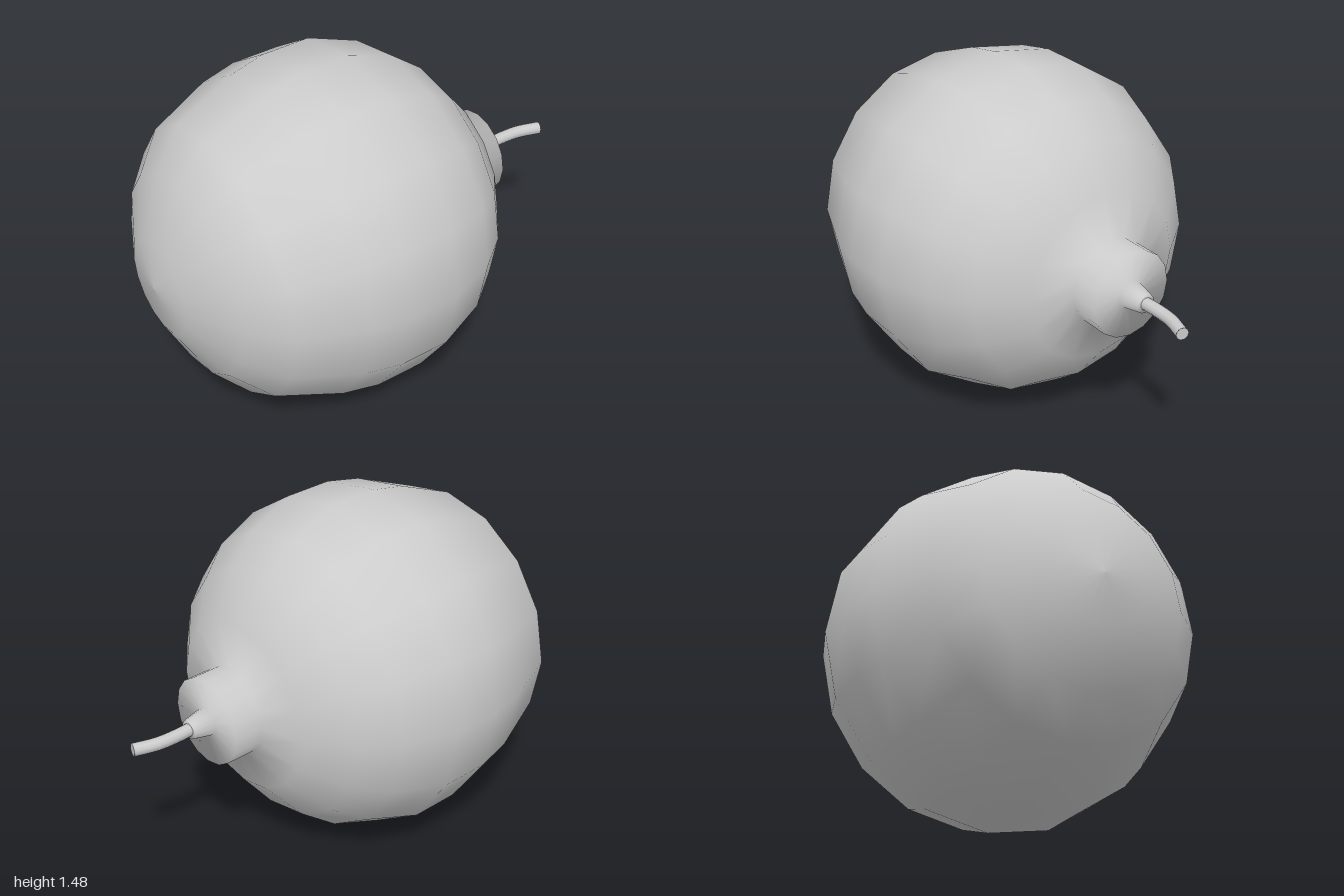
import * as THREE from 'three';

const material = new THREE.MeshStandardMaterial({ color: 0xcccccc });

export function createModel() {
  const model = new THREE.Group();
  model.name = 'roundBomb';

  const add = (name, geometry) => {
    const mesh = new THREE.Mesh(geometry, material);
    mesh.name = name;
    mesh.position.y = 0.745;
    model.add(mesh);
  };

  // Body, neck and fuse socket turned as one smooth profile: [radius, distance towards the back]
  const profile = [
    [0, -1], [0.21, -0.972], [0.44, -0.858], [0.595, -0.715], [0.708, -0.435],
    [0.742, -0.27], [0.742, -0.05], [0.66, 0.175], [0.55, 0.32], [0.37, 0.463],
    [0.19, 0.513], [0.19, 0.647], [0.06, 0.647], [0.042, 0.735], [0, 0.735],
  ].map(([r, d]) => new THREE.Vector2(r, d));
  add('body', new THREE.LatheGeometry(profile, 16).rotateX(-Math.PI / 2));

  // Fuse, bending towards the left at its tip
  const path = new THREE.CatmullRomCurve3([
    [0, -0.72], [-0.003, -0.8], [0.003, -0.89], [0.033, -0.988],
  ].map(([x, z]) => new THREE.Vector3(x, 0, z)));
  add('fuse', new THREE.TubeGeometry(path, 8, 0.027, 10));

  // Cap closing the fuse tip
  const tip = new THREE.CircleGeometry(0.027, 10);
  tip.applyQuaternion(new THREE.Quaternion().setFromUnitVectors(
    new THREE.Vector3(0, 0, 1), path.getTangent(1)));
  const end = path.getPoint(1);
  tip.translate(end.x, end.y, end.z);
  add('fuseTip', tip);

  return model;
}
